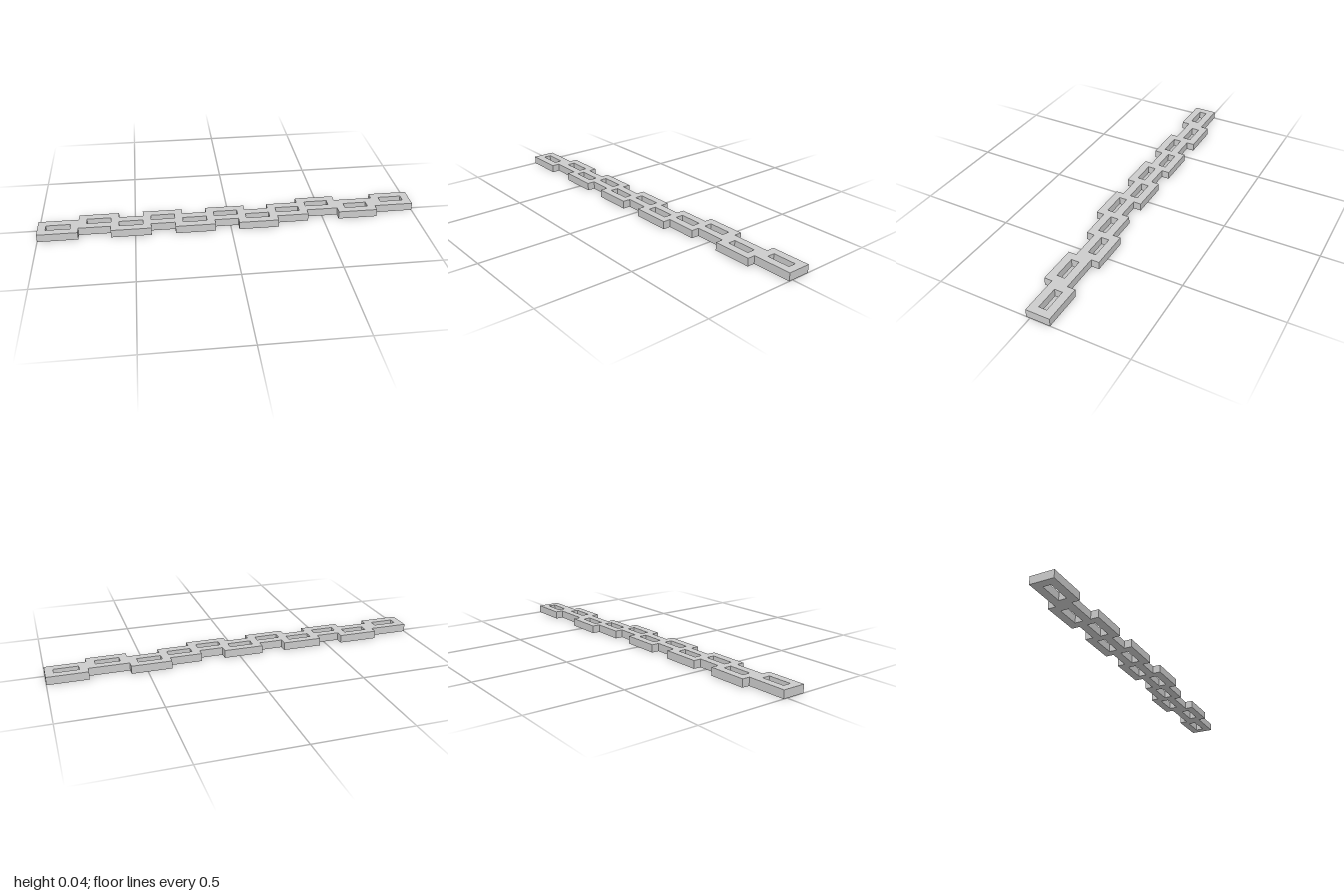
import * as THREE from 'three';

const U = 2 / 48; // wall thickness, also the height of the chain

// Rectangular link, 5 x 3 units with a 3 x 1 window, lying flat on y = 0
function linkGeometry() {
  const rect = (Type, w, h) => new Type([
    new THREE.Vector2(-w / 2, -h / 2), new THREE.Vector2(w / 2, -h / 2),
    new THREE.Vector2(w / 2, h / 2), new THREE.Vector2(-w / 2, h / 2),
  ]);
  const shape = rect(THREE.Shape, 5 * U, 3 * U);
  shape.holes.push(rect(THREE.Path, 3 * U, U));
  const geometry = new THREE.ExtrudeGeometry(shape, { depth: U, bevelEnabled: false });
  return geometry.rotateX(-Math.PI / 2);
}

export function createModel() {
  const chain = new THREE.Group();
  chain.name = 'linkChain';
  const material = new THREE.MeshStandardMaterial({ color: 0xcccccc, flatShading: true });
  const geometry = linkGeometry();

  // Left edge and sideways offset of each link, in wall units
  const starts = [0, 5, 9, 13, 17, 21, 25, 29, 33, 38, 43];
  const offsets = [1, 0, 1, 0, 1, 0, 1, 0, -1, 0, -1];
  starts.forEach((start, i) => {
    const link = new THREE.Mesh(geometry, material);
    link.name = `link${i + 1}`;
    link.position.set((start + 2.5 - 24) * U, 0, offsets[i] * U);
    chain.add(link);
  });
  return chain;
}
